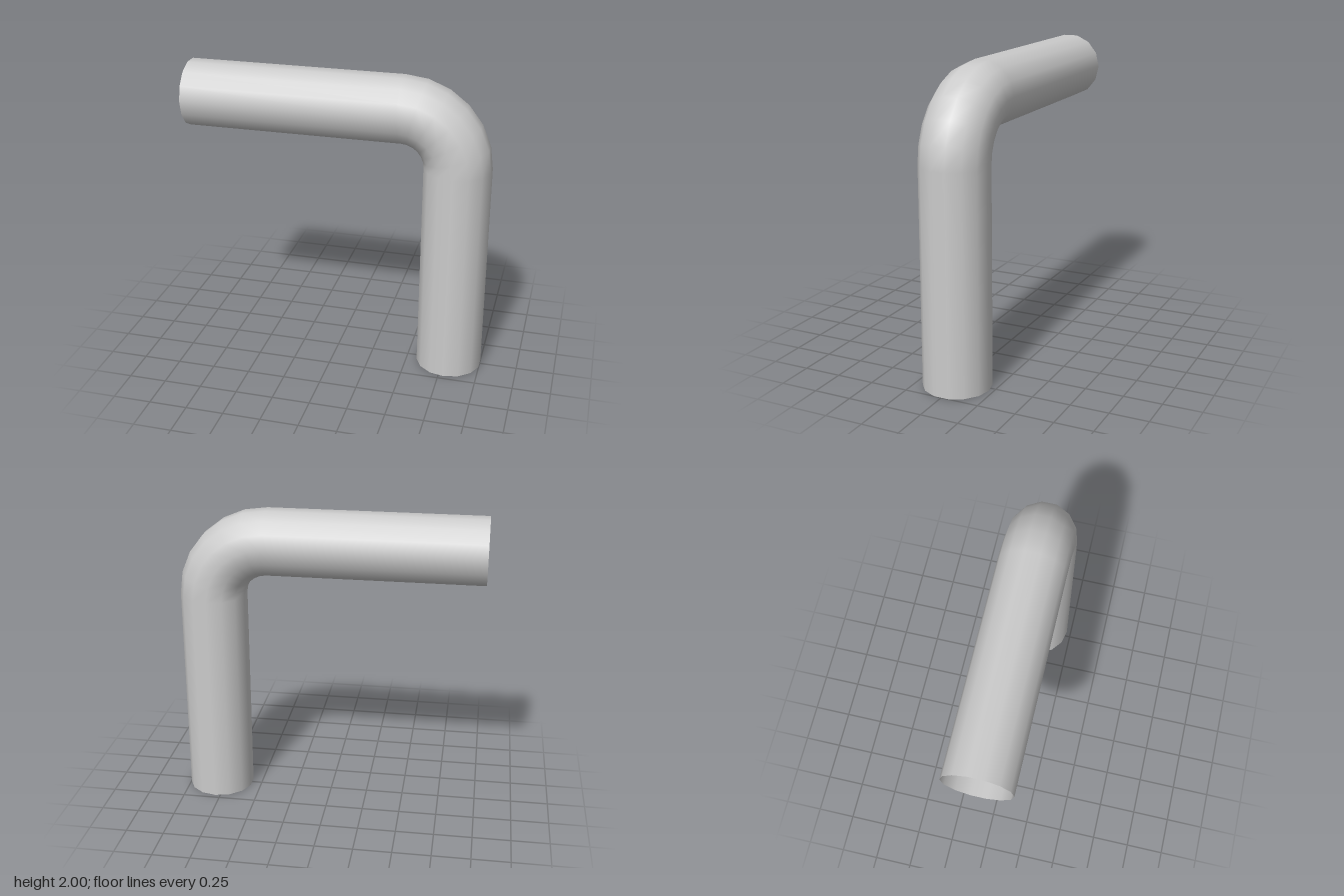
import * as THREE from 'three';

const SIDES = 14, RADIUS = 0.22;      // pipe cross-section
const BEND_STEPS = 6, BEND_RADIUS = 0.365;
const BEND_X = 0.42, BEND_Y = 1.42;   // centre of the elbow

export function createModel() {
  const group = new THREE.Group();
  group.name = 'bentPipe';

  // Centre line: open end, quarter-circle elbow, lower open end
  const path = [{ x: -1, y: BEND_Y + BEND_RADIUS, a: 0 }];
  for (let k = 0; k <= BEND_STEPS; k++) {
    const a = (k / BEND_STEPS) * Math.PI / 2;
    path.push({ x: BEND_X + BEND_RADIUS * Math.sin(a), y: BEND_Y + BEND_RADIUS * Math.cos(a), a });
  }
  path.push({ x: BEND_X + BEND_RADIUS, y: 0, a: Math.PI / 2 });

  // One ring of points at each stop, joined by quads
  const positions = [], normals = [], index = [];
  path.forEach(({ x, y, a }, s) => {
    for (let i = 0; i < SIDES; i++) {
      const t = (i / SIDES) * Math.PI * 2;
      const n = [Math.sin(a) * Math.sin(t), Math.cos(a) * Math.sin(t), Math.cos(t)];
      positions.push(x + n[0] * RADIUS, y + n[1] * RADIUS, n[2] * RADIUS);
      normals.push(...n);
      if (s < path.length - 1) {
        const p = s * SIDES + i, q = s * SIDES + (i + 1) % SIDES;
        index.push(p, p + SIDES, q, q, p + SIDES, q + SIDES);
      }
    }
  });

  const geometry = new THREE.BufferGeometry();
  geometry.setAttribute('position', new THREE.Float32BufferAttribute(positions, 3));
  geometry.setAttribute('normal', new THREE.Float32BufferAttribute(normals, 3));
  geometry.setIndex(index);

  // Thin wall, open at both ends
  const material = new THREE.MeshStandardMaterial({ color: 0xcccccc, side: THREE.DoubleSide });
  const pipe = new THREE.Mesh(geometry, material);
  pipe.name = 'elbowPipe';
  group.add(pipe);
  return group;
}
